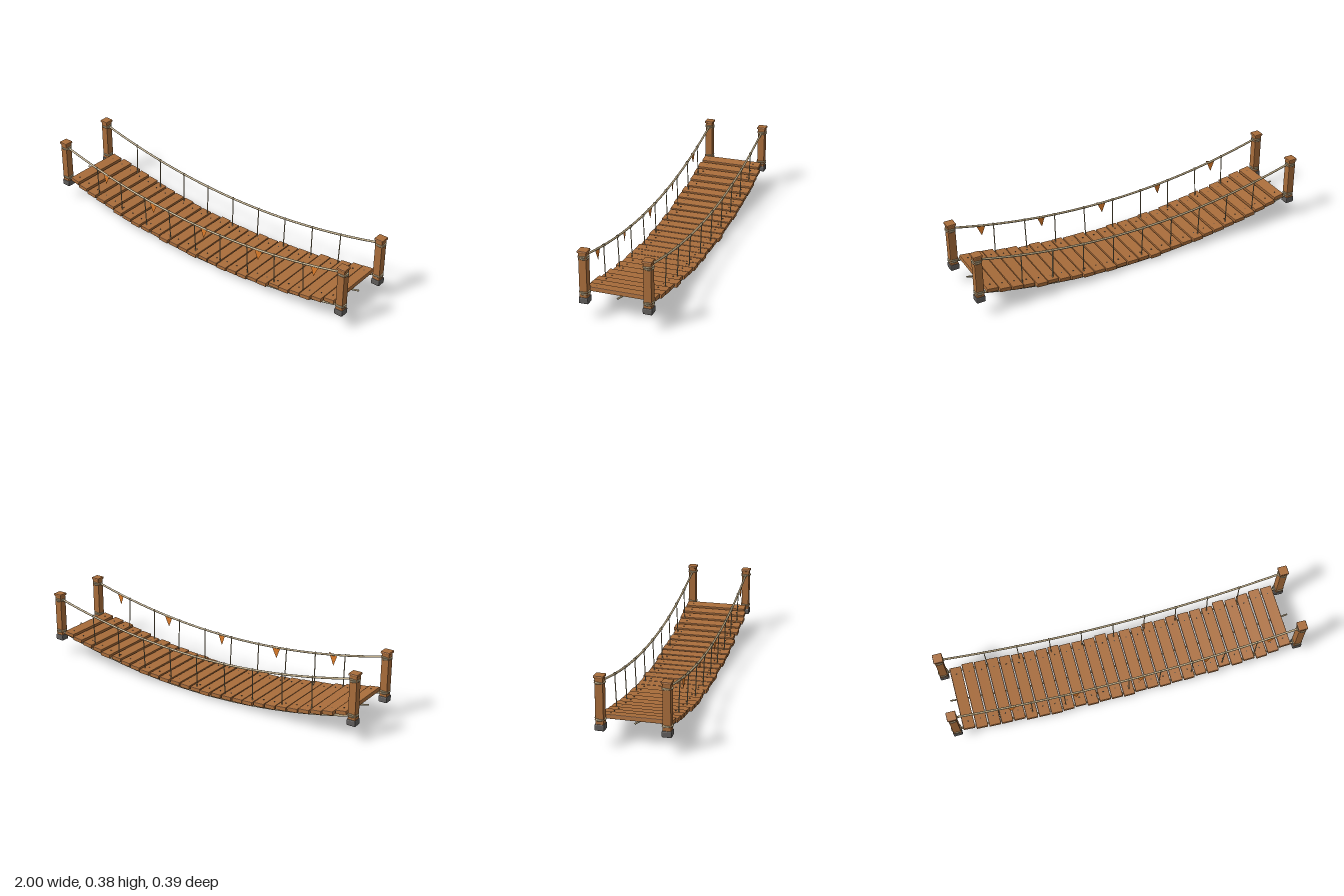
import * as THREE from 'three';
import { RoundedBoxGeometry } from 'three/addons/geometries/RoundedBoxGeometry.js';

const paint = (name, color, extra = {}) => Object.assign(new THREE.MeshStandardMaterial({ color, ...extra }), { name });

export function createModel() {
  const model = new THREE.Group();
  const wood = paint('wood', 0xa96d3b);
  const stone = paint('stone', 0x605d5b);
  const rope = paint('rope', 0xb8a580);
  const iron = paint('iron', 0x45413c);
  const cloth = paint('cloth', 0xdd7c2a, { side: THREE.DoubleSide });

  // small seeded generator for hand-made irregularity
  let seed = 7;
  const vary = (amount) => {
    seed = (seed * 16807) % 2147483647;
    return (seed / 2147483647 - 0.5) * 2 * amount;
  };

  const add = (name, geometry, material, x, y, z, parent = model) => {
    const mesh = new THREE.Mesh(geometry, material);
    mesh.name = name;
    mesh.position.set(x, y, z);
    parent.add(mesh);
    return mesh;
  };
  // box with flat chamfered edges
  const block = (w, h, d, bevel) => {
    const geometry = new RoundedBoxGeometry(w, h, d, 1, bevel);
    geometry.computeVertexNormals();
    return geometry;
  };

  const END = 0.973, SIDE = 0.168;
  const sag = (low, high) => (x) => low + (high - low) * (x / END) ** 2;
  const handY = sag(0.22, 0.347);
  const floorY = sag(0.0135, 0.143);
  const middleY = sag(0.0075, 0.137);
  const plankY = sag(0.0315, 0.161);

  const addRope = (name, heightAt, z, radius) => {
    const points = [];
    for (let i = 0; i <= 24; i++) {
      const x = END * (i / 12 - 1);
      points.push(new THREE.Vector3(x, heightAt(x), z));
    }
    add(name, new THREE.TubeGeometry(new THREE.CatmullRomCurve3(points), 64, radius, 8), rope, 0, 0, 0);
  };

  // corner posts with stone feet, caps and lashings
  for (const sx of [-1, 1]) {
    for (const sz of [-1, 1]) {
      const post = new THREE.Group();
      post.name = 'post';
      post.position.set(sx * END, 0, sz * SIDE);
      model.add(post);
      add('postFoot', block(0.051, 0.035, 0.051, 0.006), stone, 0, 0.1105, 0, post);
      add('postShaft', block(0.043, 0.25, 0.043, 0.004), wood, 0, 0.245, 0, post);
      add('postCap', block(0.053, 0.014, 0.053, 0.005), wood, 0, 0.373, 0, post);
      for (const y of [0.343, 0.151]) {
        for (const step of [-1, 1]) {
          const coil = add('postLashing', new THREE.TorusGeometry(0.0248, 0.0045, 6, 20), rope, 0, y + step * 0.003, 0, post);
          coil.rotation.set(Math.PI / 2 + step * 0.09, step * 0.08, 0);
        }
      }
    }
  }

  // walkway planks, leaning with the sag, and their nails
  const nail = new THREE.CylinderGeometry(0.0035, 0.0035, 0.004, 8);
  for (let i = -13; i <= 13; i++) {
    const x = i * 0.0695 - 0.001;
    const length = 0.376 + vary(0.014);
    const plank = add('plank', block(0.063, 0.022, length, 0.003), wood, x, plankY(x), vary(0.004));
    plank.rotation.y = vary(0.005);
    plank.rotation.z = 0.15 * x + vary(0.01);
    for (const sz of [-1, 1]) add('nail', nail, iron, 0, 0.011, sz * 0.14, plank);
  }

  // ropes under the walkway and along the hands, with hangers between
  addRope('middleRope', middleY, 0, 0.0048);
  const up = new THREE.Vector3(0, 1, 0);
  for (const sz of [-1, 1]) {
    addRope('floorRope', floorY, sz * SIDE, 0.0065);
    addRope('handRope', handY, sz * SIDE, 0.006);
    for (let i = -4; i <= 4; i++) {
      const x = i * 0.182;
      const top = new THREE.Vector3(x, handY(x), sz * SIDE);
      const foot = new THREE.Vector3(x + vary(0.004), floorY(x), sz * (SIDE - 0.008));
      const span = top.clone().sub(foot);
      const middle = top.clone().add(foot).multiplyScalar(0.5);
      const hanger = add('hanger', new THREE.CylinderGeometry(0.0028, 0.0028, span.length(), 6), rope, ...middle);
      hanger.quaternion.setFromUnitVectors(up, span.normalize());
      // knots at both ends
      for (const [y, z, r] of [[handY(x), SIDE, 0.007], [floorY(x) + 0.006, SIDE - 0.012, 0.01]]) {
        const knot = add('hangerKnot', new THREE.TorusGeometry(r, 0.002, 6, 14), rope, x, y, sz * z);
        knot.rotation.y = Math.PI / 2 + 0.2;
      }
    }
  }

  // pennants on the front hand rope
  const pennant = new THREE.Shape([[-0.025, -0.004], [0.029, 0.009], [-0.003, -0.064]].map((p) => new THREE.Vector2(...p)));
  const pennantGeometry = new THREE.ShapeGeometry(pennant);
  [-0.655, -0.295, 0.07, 0.445, 0.8].forEach((x, i) => {
    const flag = add('pennant', pennantGeometry, cloth, x, handY(x), SIDE + 0.002);
    flag.rotation.y = i % 2 ? 0.12 : -0.12;
  });

  return model;
}
